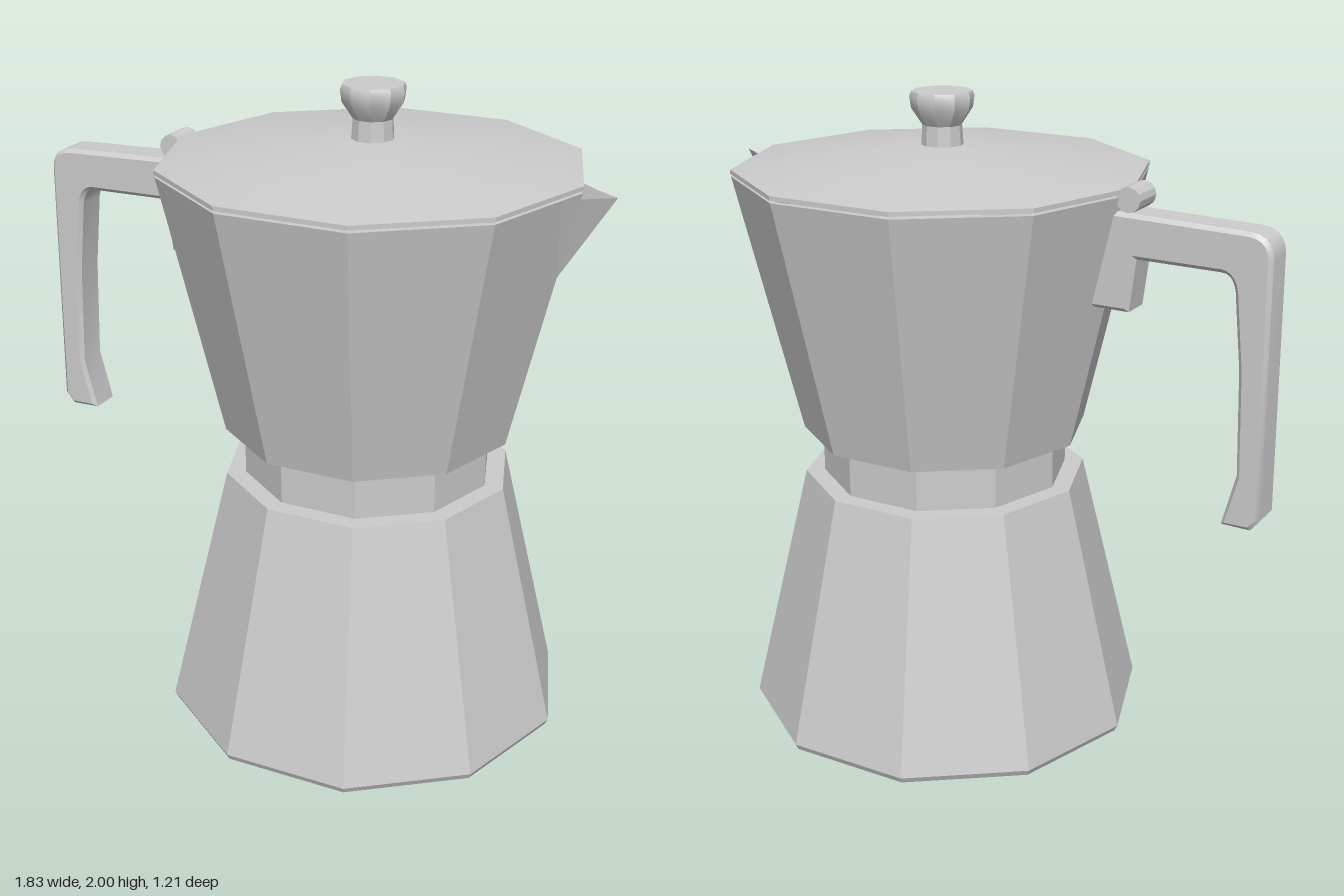
import * as THREE from 'three';
import { toCreasedNormals } from 'three/addons/utils/BufferGeometryUtils.js';

const CENTER = 0.175; // x of the pot's axis
const grey = new THREE.MeshStandardMaterial({ color: 0xcccccc });
const greyThin = new THREE.MeshStandardMaterial({ color: 0xcccccc, side: THREE.DoubleSide });

export function createModel() {
  const model = new THREE.Group();

  const add = (name, geometry, material = grey) => {
    const mesh = new THREE.Mesh(toCreasedNormals(geometry, 0.5), material);
    mesh.name = name;
    model.add(mesh);
    return mesh;
  };

  // Ten-sided turned part with corners on the x axis; profile is [radius, height]
  const decagon = (name, profile) => {
    const points = profile.map(([r, y]) => new THREE.Vector2(r, y));
    const geometry = new THREE.LatheGeometry(points, 10);
    geometry.rotateY(Math.PI / 2);
    geometry.translate(CENTER, 0, 0);
    return add(name, geometry);
  };

  decagon('waterChamber', [[0, 0], [0.625, 0], [0.635, 0.02], [0.447, 0.8], [0, 0.8]]);
  decagon('waist', [[0.388, 0.8], [0.388, 0.95]]);
  // Upper pot with rim, inner wall and floor
  decagon('upperPot', [[0, 0.95], [0.447, 0.95], [0.635, 1.755], [0.615, 1.755], [0.43, 0.98], [0, 0.98]]);
  decagon('lid', [[0, 1.763], [0.637, 1.763], [0.637, 1.776], [0.46, 1.803],
    [0.3, 1.822], [0.13, 1.84], [0, 1.84]]);
  decagon('knob', [[0.064, 1.838], [0.06, 1.9], [0.093, 1.95], [0.098, 1.985], [0.092, 2], [0, 2]]);

  // Spout: V-shaped sections that widen from a point up to the rim
  const position = [], index = [];
  const rows = 6;
  for (let i = 0; i <= rows; i++) {
    const t = i / rows;
    const y = 1.5 + 0.255 * t;
    const half = 0.1 * t;
    const wall = CENTER + 0.576 + 0.059 * t;
    const ridge = 0.751 + 0.159 * t;
    for (const s of [-1, -0.5, 0, 0.5, 1]) {
      const a = Math.abs(s);
      const root = wall - half * Math.tan(Math.PI / 10);
      const hollow = a === 0.5 ? 0.008 * t : 0;
      position.push(THREE.MathUtils.lerp(ridge, root, a) - hollow, y, s * half);
    }
    if (i === rows) continue;
    for (let j = 0; j < 4; j++) {
      const a = i * 5 + j, b = a + 5;
      index.push(a, b, a + 1, a + 1, b, b + 1);
    }
  }
  const spout = new THREE.BufferGeometry();
  spout.setAttribute('position', new THREE.Float32BufferAttribute(position, 3));
  spout.setIndex(index);
  add('spout', spout, greyThin);

  // Handle: bevelled side outline with its mounting block
  const bevel = 0.012;
  const outline = new THREE.Shape();
  outline.moveTo(-0.36, 1.432);
  outline.lineTo(-0.40, 1.702);
  outline.lineTo(-0.84, 1.69);
  outline.quadraticCurveTo(-0.895, 1.685, -0.897, 1.63);
  outline.lineTo(-0.903, 0.86);
  outline.lineTo(-0.88, 0.832);
  outline.lineTo(-0.808, 0.832);
  outline.lineTo(-0.848, 0.98);
  outline.lineTo(-0.838, 1.3);
  outline.lineTo(-0.815, 1.53);
  outline.quadraticCurveTo(-0.805, 1.587, -0.76, 1.589);
  outline.lineTo(-0.488, 1.592);
  outline.lineTo(-0.468, 1.432);
  const handle = new THREE.ExtrudeGeometry(outline, {
    depth: 0.094, bevelEnabled: true, bevelThickness: bevel, bevelSize: bevel,
    bevelSegments: 1, curveSegments: 5,
  });
  handle.translate(0, 0, -0.047);
  add('handle', handle);

  // Hinge barrel and the tab that joins it to the lid
  const barrel = new THREE.CylinderGeometry(0.038, 0.038, 0.11, 12);
  barrel.rotateX(Math.PI / 2);
  barrel.translate(-0.47, 1.75, 0);
  add('hingeBarrel', barrel);
  const tab = new THREE.BoxGeometry(0.1, 0.022, 0.07);
  tab.translate(-0.41, 1.768, 0);
  add('hingeTab', tab);

  return model;
}
